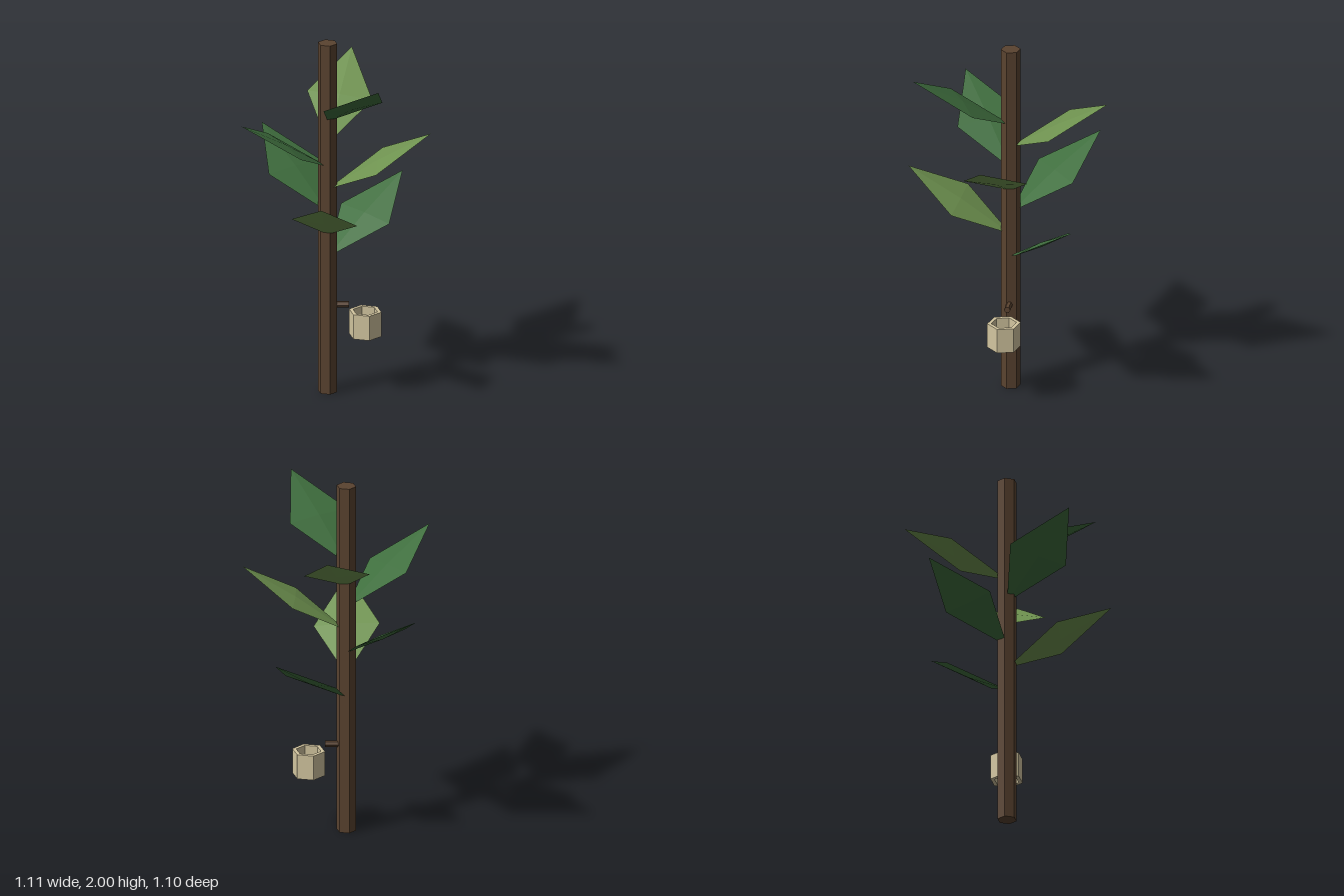
import * as THREE from 'three';

const mat = (color) => new THREE.MeshStandardMaterial({ color, flatShading: true });

export function createModel() {
  const model = new THREE.Group();
  const plant = new THREE.Group();
  plant.name = 'plant';
  plant.position.set(-0.006, 0, 0.007);
  model.add(plant);

  const bark = mat(0x5a4330);
  const leafColors = [mat(0x3f6e3e), mat(0x6f9350)];
  const pale = mat(0xd3c6a0);

  const add = (name, geometry, material, parent = plant) => {
    const mesh = new THREE.Mesh(geometry, material);
    mesh.name = name;
    parent.add(mesh);
    return mesh;
  };

  // Six-sided trunk with corners on the x axis
  add('trunk', new THREE.CylinderGeometry(0.053, 0.053, 2, 6).rotateY(Math.PI / 6).translate(0, 1, 0), bark);

  // Flat diamond leaves spiralling up by the golden angle, each slightly rolled
  const goldenAngle = THREE.MathUtils.degToRad(137.508);
  const reach = 0.56, rise = 0.35;
  const halfLength = Math.hypot(reach, rise) / 2;
  const rolls = [0.085, -0.085, 0, 0.085, -0.125, 0.1, -0.045];
  const leaves = new THREE.Group();
  leaves.name = 'leaves';
  plant.add(leaves);
  rolls.forEach((roll, i) => {
    const leaf = new THREE.OctahedronGeometry(1)
      .scale(halfLength, 0.012, 0.178)
      .rotateX(roll)
      .rotateZ(Math.atan2(rise, reach))
      .translate(reach / 2, 0.77 + rise / 2 + 0.13 * i, 0)
      .rotateY(-goldenAngle * i);
    add('leaf', leaf, leafColors[i % 2], leaves);
  });

  // Short six-sided spout pointing diagonally forward
  const spout = new THREE.CylinderGeometry(0.0175, 0.0175, 0.115, 6)
    .rotateY(Math.PI / 6)
    .rotateX(Math.PI / 2)
    .translate(0, 0.5, 0.0575)
    .rotateY(Math.PI / 4);
  add('spout', spout, bark);

  // Hollow six-sided collar below the spout
  const hexagon = (r) => Array.from({ length: 6 }, (_, i) =>
    new THREE.Vector2(r * Math.cos((i * Math.PI) / 3), r * Math.sin((i * Math.PI) / 3)));
  const ring = new THREE.Shape(hexagon(0.09));
  ring.holes.push(new THREE.Path(hexagon(0.068)));
  const collar = new THREE.ExtrudeGeometry(ring, { depth: 0.14, bevelEnabled: false })
    .rotateX(-Math.PI / 2)
    .translate(0.141, 0.325, 0.145);
  add('collar', collar, pale);

  return model;
}
